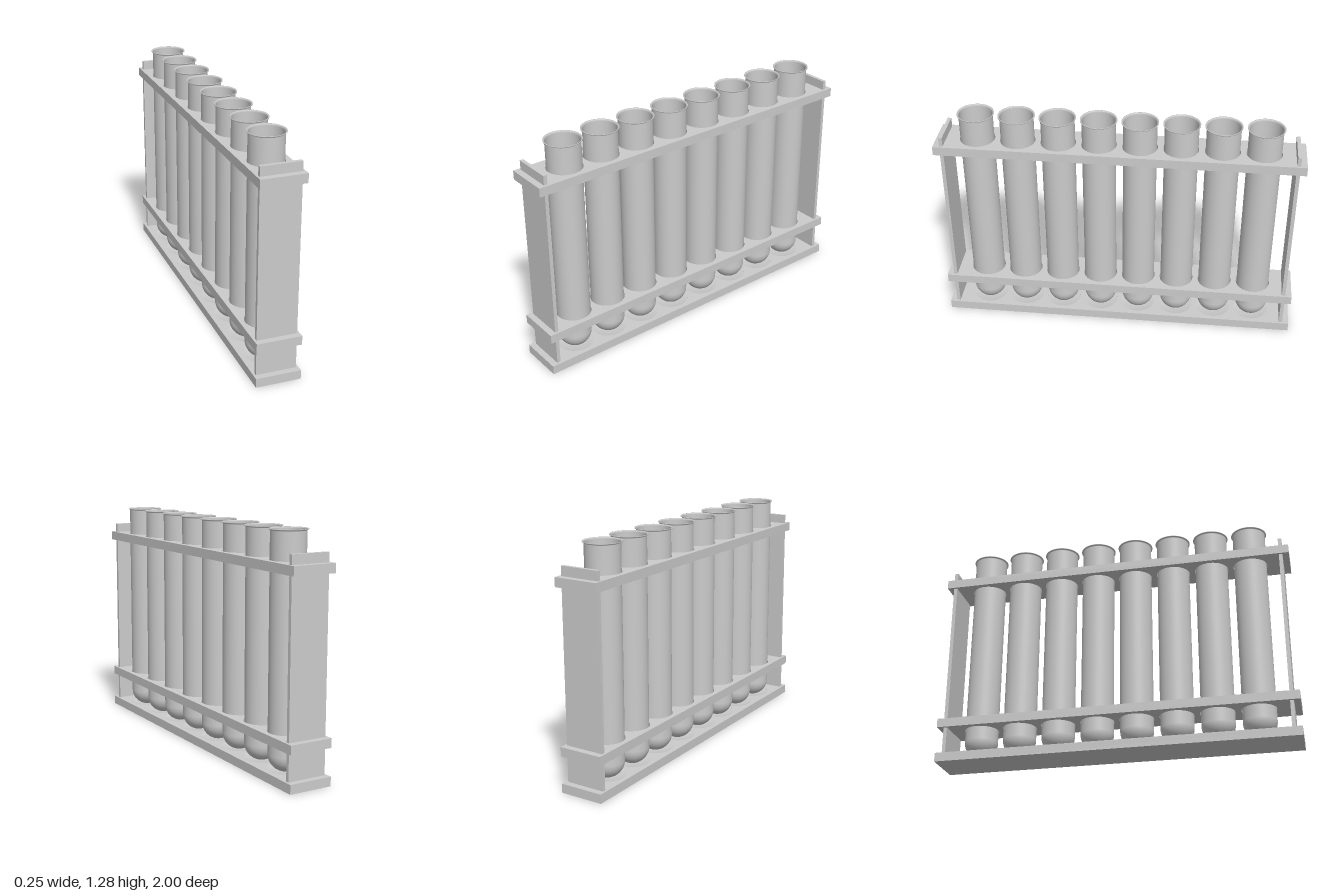
import * as THREE from 'three';

const COUNT = 8, PITCH = 0.222, HALF_W = 0.123, R = 0.092;
const slots = Array.from({ length: COUNT }, (_, i) => (i - (COUNT - 1) / 2) * PITCH);

export function createModel() {
  const rack = new THREE.Group();
  rack.name = 'testTubeRack';
  const grey = new THREE.MeshStandardMaterial({ color: 0xcccccc });
  const thin = new THREE.MeshStandardMaterial({ color: 0xcccccc, side: THREE.DoubleSide });

  const add = (name, geometry, material, x = 0, y = 0, z = 0) => {
    const mesh = new THREE.Mesh(geometry, material);
    mesh.name = name;
    mesh.position.set(x, y, z);
    rack.add(mesh);
    return mesh;
  };

  // Long flat board with a row of round holes, resting at height y
  const board = (name, y, height, holeRadius) => {
    const shape = new THREE.Shape([
      new THREE.Vector2(-HALF_W, -1), new THREE.Vector2(HALF_W, -1),
      new THREE.Vector2(HALF_W, 1), new THREE.Vector2(-HALF_W, 1),
    ]);
    for (const z of slots) {
      shape.holes.push(new THREE.Path().absarc(0, z, holeRadius, 0, Math.PI * 2, true));
    }
    const geometry = new THREE.ExtrudeGeometry(shape, { depth: height, bevelEnabled: false, curveSegments: 24 });
    geometry.rotateX(-Math.PI / 2);
    add(name, geometry, grey, 0, y, 0);
  };

  // Base: solid slab with a shallow dished seat under each tube
  add('baseSlab', new THREE.BoxGeometry(HALF_W * 2, 0.034, 2), grey, 0, 0.017, 0);
  board('baseTop', 0.034, 0.016, 0.098);
  const dish = new THREE.LatheGeometry(
    [[0, 0.0365], [0.04, 0.039], [0.075, 0.0445], [0.098, 0.05]].map(p => new THREE.Vector2(...p)), 40);

  // Two perforated shelves
  board('lowerShelf', 0.2, 0.05, 0.096);
  board('upperShelf', 1.075, 0.05, 0.096);

  // End panels
  for (const side of [-1, 1]) {
    add(side > 0 ? 'frontPanel' : 'backPanel',
      new THREE.BoxGeometry(0.22, 1.127, 0.02), grey, 0, 0.6125, side * 0.955);
  }

  // Test tube: round bottom, straight thin wall, flared rim
  const wall = 0.004, bottom = 0.038, top = 1.28, centre = bottom + R;
  const profile = [];
  const arc = (r, t) => new THREE.Vector2(Math.sin(t) * r, centre - Math.cos(t) * r);
  for (let i = 0; i <= 12; i++) profile.push(arc(R, i / 12 * Math.PI / 2));
  for (const [r, y] of [[R, top - 0.01], [0.095, top - 0.006], [0.1, top - 0.004],
    [0.1, top], [0.095, top - 0.001], [R - wall, top - 0.008]]) profile.push(new THREE.Vector2(r, y));
  for (let i = 12; i >= 0; i--) profile.push(arc(R - wall, i / 12 * Math.PI / 2));
  const tube = new THREE.LatheGeometry(profile, 40);

  slots.forEach((z, i) => {
    add(`tubeSeat${i + 1}`, dish, thin, 0, 0, z);
    add(`testTube${i + 1}`, tube, thin, 0, 0, z);
  });
  return rack;
}
